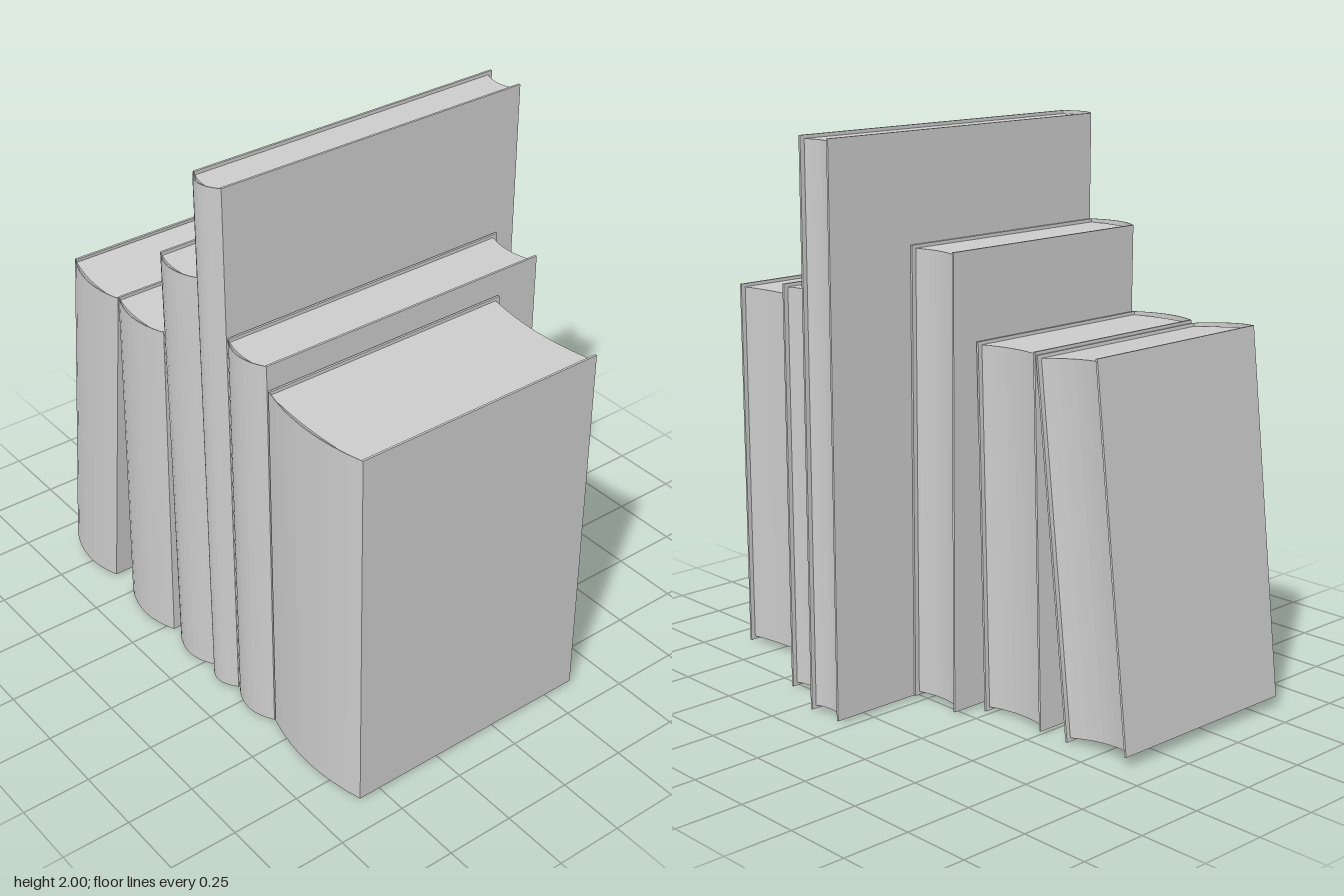
import * as THREE from 'three';

const BOARD = 0.008;   // cover thickness
const HINGE = 0.587;   // z where the covers meet the spine
const RECESS = 0.012;  // how far the pages sit inside the covers
const STEPS = 8;       // facets across each curve

const material = new THREE.MeshStandardMaterial({ color: 0xcccccc, flatShading: true, side: THREE.DoubleSide });

// Shallow arc in plan from -half to +half, bulging towards +z
function arc(half, z, sag) {
  return Array.from({ length: STEPS + 1 }, (_, i) => {
    const t = (2 * i) / STEPS - 1;
    return [half * t, z + sag * (1 - t * t)];
  });
}

// Upright prism from a plan outline of [x, z] points
function prism(name, outline, y0, y1) {
  const shape = new THREE.Shape(outline.map(([x, z]) => new THREE.Vector2(x, -z)));
  const geometry = new THREE.ExtrudeGeometry(shape, { depth: y1 - y0, bevelEnabled: false });
  geometry.rotateX(-Math.PI / 2).translate(0, y0, 0);
  const mesh = new THREE.Mesh(geometry, material);
  mesh.name = name;
  return mesh;
}

function createBook({ x, y = 0.01, width, height, back, lean = 0 }) {
  const book = new THREE.Group();
  const half = width / 2;

  // Two flat boards
  for (const side of [-1, 1]) {
    const depth = HINGE - back;
    const cover = new THREE.Mesh(new THREE.BoxGeometry(BOARD, height, depth), material);
    cover.position.set(side * (half - BOARD / 2), height / 2, back + depth / 2);
    cover.name = side < 0 ? 'rightCover' : 'leftCover';
    book.add(cover);
  }

  // Thin rounded spine, open behind
  const outer = arc(half, HINGE, 0.035);
  const inner = arc(half - 0.004, HINGE, 0.031).reverse();
  book.add(prism('spine', [...outer, ...inner], 0, height));

  // Page block: gently rounded at the spine, hollow at the fore edge
  const inside = half - BOARD;
  const front = arc(inside, HINGE - 0.002, 0.016);
  const foreEdge = arc(inside, back + 0.017, Math.min(0.025, 0.01 + width * 0.04)).reverse();
  book.add(prism('pages', [...front, ...foreEdge], RECESS, height - RECESS));

  book.position.set(x, y, 0);
  book.rotation.z = -lean;
  return book;
}

export function createModel() {
  const model = new THREE.Group();
  model.name = 'bookRow';
  const books = [
    { x: -0.752, y: 0.025, width: 0.277, height: 1.308, back: -0.182, lean: 0.118 },
    { x: -0.359, y: 0.006, width: 0.277, height: 1.308, back: -0.182, lean: 0.031 },
    { x: -0.068, width: 0.213, height: 1.61, back: -0.28 },
    { x: 0.115, width: 0.15, height: 1.99, back: -0.625 },
    { x: 0.301, width: 0.208, height: 1.462, back: -0.54 },
    { x: 0.649, width: 0.474, height: 1.375, back: -0.365 },
  ];
  books.forEach((spec, i) => {
    const book = createBook(spec);
    book.name = `book${i + 1}`;
    model.add(book);
  });
  return model;
}
